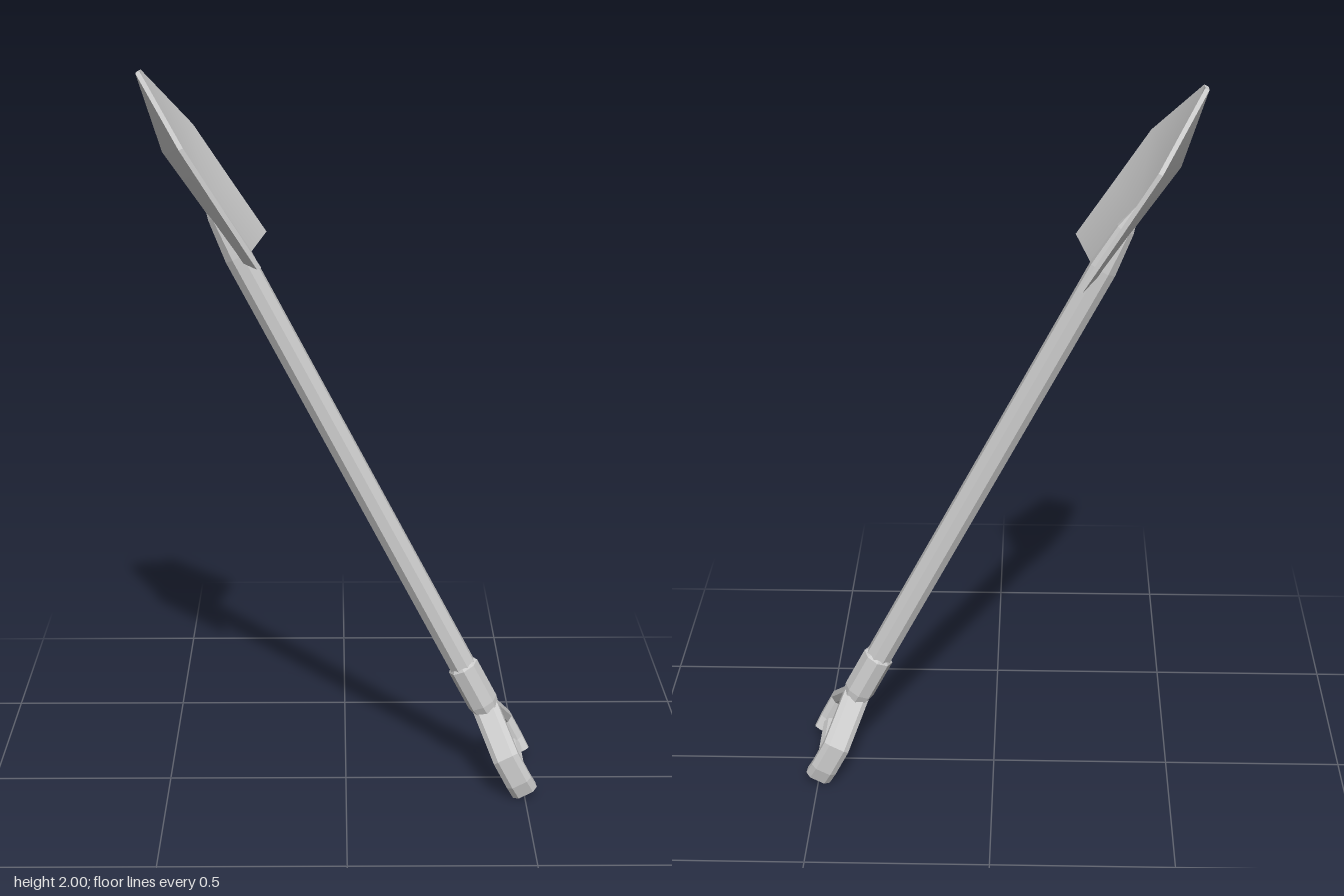
import * as THREE from 'three';
import { mergeGeometries } from 'three/addons/utils/BufferGeometryUtils.js';

const flat = new THREE.MeshStandardMaterial({ color: 0xcccccc, flatShading: true });
const smooth = new THREE.MeshStandardMaterial({ color: 0xcccccc });

function mesh(name, geometry, material = flat) {
  const m = new THREE.Mesh(geometry, material);
  m.name = name;
  return m;
}

// eight-sided turned part from [radius, height] pairs
function turned(profile, phi) {
  return new THREE.LatheGeometry(profile.map(([r, y]) => new THREE.Vector2(r, y)), 8, phi, Math.PI * 2);
}

// geometry from a list of quads, each of four Vector3 in counterclockwise order
function fromQuads(quads) {
  const pos = [];
  for (const [a, b, c, d] of quads) for (const p of [a, b, c, a, c, d]) pos.push(p.x, p.y, p.z);
  const g = new THREE.BufferGeometry();
  g.setAttribute('position', new THREE.Float32BufferAttribute(pos, 3));
  g.computeVertexNormals();
  return g;
}

// bevelled bar swept along a mitred path in the y-z plane
function sweptArm(path) {
  const section = [[1, -0.45], [1, 0.45], [0.6, 1], [-0.6, 1], [-1, 0.45], [-1, -0.45], [-0.6, -1], [0.6, -1]];
  const halfX = 0.037, halfN = 0.022;
  const X = new THREE.Vector3(1, 0, 0);
  const pts = path.map(([z, y]) => new THREE.Vector3(0, y, z));
  const dir = (i) => pts[i + 1].clone().sub(pts[i]).normalize();
  const rings = pts.map((p, i) => {
    const a = dir(Math.max(i - 1, 0)), b = dir(Math.min(i, pts.length - 2));
    const t = a.clone().add(b).normalize();
    const n = t.clone().cross(X).multiplyScalar(1 / t.dot(a));
    return section.map(([u, w]) => p.clone().addScaledVector(X, u * halfX).addScaledVector(n, w * halfN));
  });
  const quads = [];
  for (let i = 0; i < rings.length - 1; i++) {
    for (let j = 0; j < 8; j++) {
      const k = (j + 1) % 8;
      quads.push([rings[i][j], rings[i][k], rings[i + 1][k], rings[i + 1][j]]);
    }
  }
  // end caps
  const first = rings[0], last = rings[rings.length - 1];
  for (const j of [1, 3, 5]) {
    quads.push([last[0], last[j], last[j + 1], last[j + 2]]);
    quads.push([first[0], first[j + 2], first[j + 1], first[j]]);
  }
  return fromQuads(quads);
}

// folded, dished blade: rows of [half width, edge x, edge y, centre x, centre y]
function bladeGeometry() {
  const rows = [
    [0.22, 0.057, 1.694, -0.002, 1.69],
    [0.207, 0.04, 1.87, -0.022, 1.868],
    [0.193, 0.024, 2.046, -0.044, 2.04],
    [0.018, -0.004, 2.249, -0.005, 2.249],
  ];
  const grid = (dx) => rows.map(([w, ex, ey, cx, cy]) => [
    new THREE.Vector3(ex + dx, ey, -w), new THREE.Vector3(cx + dx, cy, 0), new THREE.Vector3(ex + dx, ey, w),
  ]);
  const front = grid(0.012), back = grid(0);

  const sheet = (g, flip) => {
    const geo = new THREE.BufferGeometry().setFromPoints(g.flat());
    const index = [];
    for (let r = 0; r < rows.length - 1; r++) {
      for (let c = 0; c < 2; c++) {
        const a = r * 3 + c + 1, b = a - 1, d = b + 3, e = a + 3;
        const tris = c === 0 ? [[a, b, d], [a, d, e]] : [[a, b, e], [b, d, e]];
        for (const t of tris) index.push(...(flip ? t.reverse() : t));
      }
    }
    geo.setIndex(index);
    geo.computeVertexNormals();
    return geo.toNonIndexed();
  };

  // rim joining both sheets
  const n = rows.length - 1;
  const loop = [[0, 2], [0, 1]];
  for (let r = 0; r <= n; r++) loop.push([r, 0]);
  loop.push([n, 1]);
  for (let r = n; r > 0; r--) loop.push([r, 2]);
  const rim = fromQuads(loop.map(([r, c], i) => {
    const [s, d] = loop[(i + 1) % loop.length];
    return [back[r][c], back[s][d], front[s][d], front[r][c]];
  }));
  return mergeGeometries([sheet(front, false), sheet(back, true), rim]);
}

export function createModel() {
  const shovel = new THREE.Group();
  shovel.name = 'shovel';

  // shaft with a pointed end lying on the blade
  shovel.add(mesh('shaft', turned([[0, 0.3], [0.038, 0.3], [0.038, 1.71], [0.025, 1.83], [0, 1.917]], Math.PI / 8)));

  // collar between shaft and handle
  shovel.add(mesh('collar', turned([[0, 0.235], [0.038, 0.235], [0.044, 0.262], [0.044, 0.385], [0.037, 0.392], [0, 0.392]], 0)));

  // forked handle
  for (const s of [1, -1]) {
    const path = [[0, 0.242], [0.127, 0.132], [0.127, 0.055], [0.116, 0.016]];
    shovel.add(mesh(s > 0 ? 'leftHandleArm' : 'rightHandleArm', sweptArm(path.map(([z, y]) => [z * s, y]))));
  }

  // cross grip
  const grip = mesh('grip', new THREE.CylinderGeometry(0.023, 0.023, 0.23, 8));
  grip.rotation.x = Math.PI / 2;
  grip.position.y = 0.048;
  shovel.add(grip);

  shovel.add(mesh('blade', bladeGeometry(), smooth));

  // lean the whole tool, blade up
  shovel.rotation.z = 0.48;
  shovel.position.set(0.506, 0, 0);
  const model = new THREE.Group();
  model.name = 'leaningShovel';
  model.add(shovel);
  return model;
}
